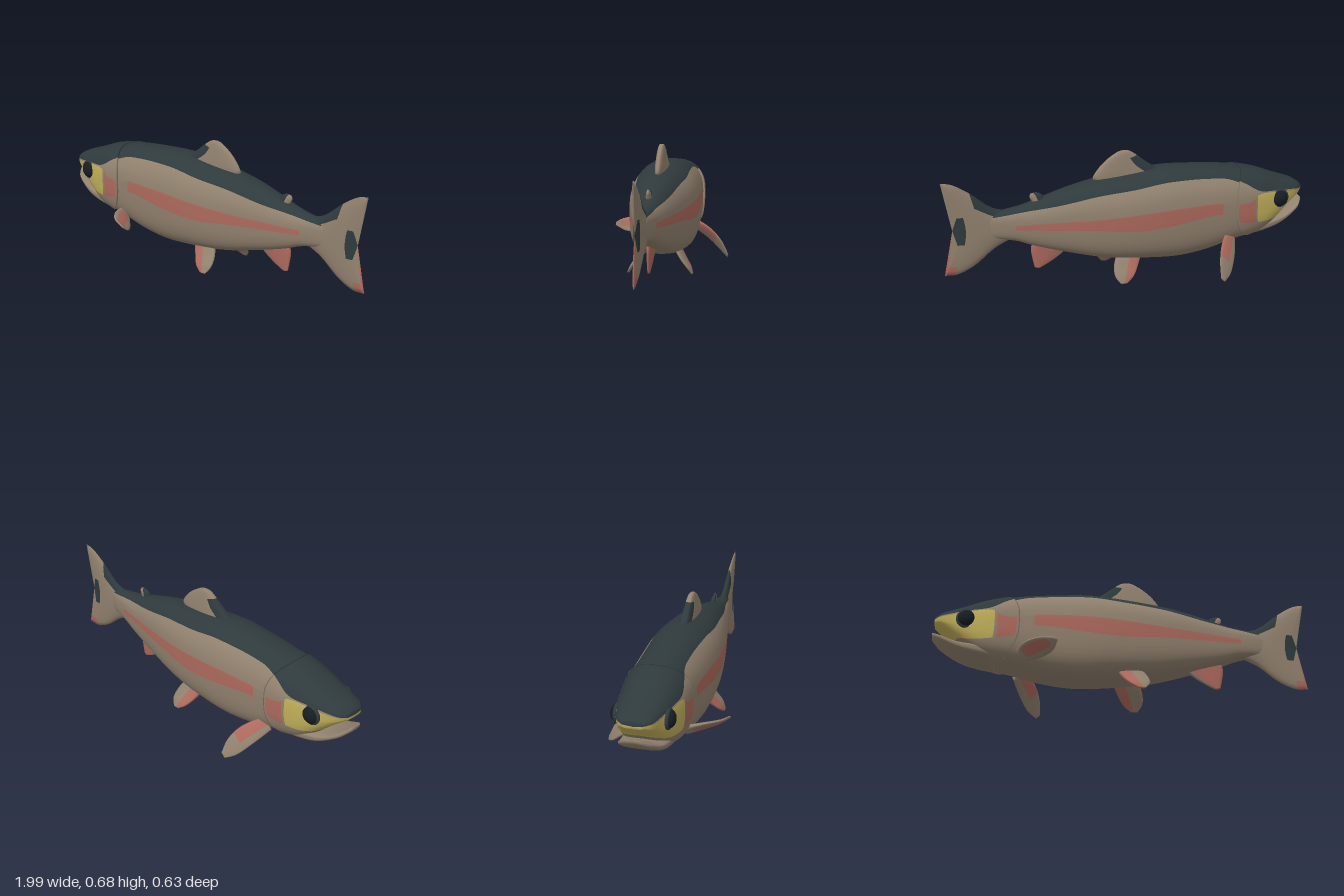
import * as THREE from 'three';

const mat = (name, color) => Object.assign(new THREE.MeshStandardMaterial({ color }), { name });
const MATS = [
  mat('dark back', 0x2f3a3c), mat('tan flank', 0x92826f), mat('pink', 0xae6a5e),
  mat('yellow cheek', 0xc2b05a), mat('eye black', 0x161d22),
];
const [DARK, TAN, PINK, YELLOW, BLACK] = [0, 1, 2, 3, 4];

// Smooth curve through [x, value] pairs
function track(pts) {
  const slope = i => {
    const a = pts[Math.max(i - 1, 0)], b = pts[Math.min(i + 1, pts.length - 1)];
    return (b[1] - a[1]) / (b[0] - a[0]);
  };
  return x => {
    if (x <= pts[0][0]) return pts[0][1];
    if (x >= pts[pts.length - 1][0]) return pts[pts.length - 1][1];
    let i = 0;
    while (x > pts[i + 1][0]) i++;
    const d = pts[i + 1][0] - pts[i][0], t = (x - pts[i][0]) / d;
    return (1 + 2 * t) * (1 - t) ** 2 * pts[i][1] + t * (1 - t) ** 2 * d * slope(i)
      + t * t * (3 - 2 * t) * pts[i + 1][1] + t * t * (t - 1) * d * slope(i + 1);
  };
}

// Skin over closed rings with capped ends; colorOf(row, column) picks a material
function loft(name, rings, colorOf) {
  const center = r => r.reduce((s, p) => s.add(p), new THREE.Vector3()).divideScalar(r.length);
  const cap = r => { const c = center(r); return r.map(() => c); };
  const all = [cap(rings[0]), ...rings, cap(rings[rings.length - 1])];
  const n = rings[0].length, lists = MATS.map(() => []);
  for (let i = 0; i < all.length - 1; i++) {
    const row = Math.min(Math.max(i - 1, 0), rings.length - 2);
    for (let j = 0; j < n; j++) {
      const a = i * n + j, b = i * n + (j + 1) % n, c = a + n, d = b + n;
      lists[colorOf(row, j)].push(a, c, b, b, c, d);
    }
  }
  const geo = new THREE.BufferGeometry().setFromPoints(all.flat());
  geo.setIndex(lists.flat());
  let start = 0;
  lists.forEach((l, m) => { if (l.length) geo.addGroup(start, l.length, m); start += l.length; });
  geo.computeVertexNormals();
  const mesh = new THREE.Mesh(geo, MATS);
  mesh.name = name;
  return mesh;
}

// Body profiles along x: top, bottom, half width, and the edges of the colour bands
const top = track([[-0.99, 0.405], [-0.95, 0.428], [-0.85, 0.465], [-0.72, 0.513], [-0.53, 0.55], [-0.31, 0.572],
  [-0.18, 0.577], [0, 0.562], [0.2, 0.538], [0.33, 0.513], [0.49, 0.47], [0.57, 0.449], [0.66, 0.436], [0.78, 0.42]]);
const bottom = track([[-0.99, 0.37], [-0.95, 0.34], [-0.9, 0.3], [-0.86, 0.265], [-0.82, 0.23], [-0.74, 0.175],
  [-0.58, 0.138], [-0.42, 0.1], [-0.26, 0.084], [-0.1, 0.094], [0.14, 0.123], [0.33, 0.171], [0.52, 0.23], [0.62, 0.268], [0.78, 0.3]]);
const width = track([[-0.99, 0.05], [-0.96, 0.085], [-0.9, 0.11], [-0.82, 0.133], [-0.68, 0.157], [-0.55, 0.163],
  [-0.2, 0.178], [0, 0.17], [0.2, 0.142], [0.4, 0.102], [0.6, 0.06], [0.7, 0.038], [0.78, 0.015]]);
const backEdge = track([[-0.99, 0.388], [-0.9, 0.4], [-0.8, 0.412], [-0.7, 0.425], [-0.6, 0.475], [-0.5, 0.508],
  [-0.2, 0.525], [0, 0.505], [0.2, 0.485], [0.4, 0.45], [0.55, 0.43], [0.78, 0.4]]);
const stripeTop = track([[-0.99, 0.386], [-0.9, 0.392], [-0.8, 0.405], [-0.69, 0.408], [-0.65, 0.376], [-0.57, 0.37],
  [-0.48, 0.388], [-0.2, 0.39], [0.2, 0.37], [0.62, 0.362]]);
const stripeBottom = track([[-0.99, 0.36], [-0.9, 0.29], [-0.8, 0.25], [-0.7, 0.25], [-0.64, 0.255], [-0.57, 0.27],
  [-0.48, 0.325], [-0.2, 0.3], [0, 0.29], [0.2, 0.31], [0.62, 0.337]]);

const P_TOP = 0.9, P_LOW = 0.6, SUBS = [8, 4, 5, 11], HALF = 28;
const section = (x, grow) => ({ t: top(x) + grow * 0.5, b: bottom(x) - grow * 0.5, w: width(x) + grow });
const middle = s => s.b + (s.t - s.b) * 0.57;

// Point on a section at angle a from the top
function around(x, s, a, side) {
  const c = Math.cos(a), p = c > 0 ? P_TOP : P_LOW, m = middle(s);
  const y = m + (c > 0 ? s.t - m : m - s.b) * Math.sign(c) * Math.abs(c) ** p;
  return new THREE.Vector3(x, y, side * s.w * Math.abs(Math.sin(a)) ** p);
}
function angleAt(s, y) {
  const m = middle(s), k = THREE.MathUtils.clamp(y > m ? (y - m) / (s.t - m) : (y - m) / (m - s.b), -1, 1);
  return Math.acos(Math.sign(k) * Math.abs(k) ** (1 / (k > 0 ? P_TOP : P_LOW)));
}
// One body ring whose points line up with the colour bands
function bodyRing(u, grow, sweep = 0) {
  const s = section(u, grow), marks = [0];
  for (const f of [backEdge, stripeTop, stripeBottom]) marks.push(Math.max(angleAt(s, f(u)), marks[marks.length - 1]));
  marks.push(Math.PI);
  const angles = [0];
  SUBS.forEach((n, k) => {
    for (let i = 1; i <= n; i++) angles.push(marks[k] + (marks[k + 1] - marks[k]) * i / n);
  });
  const at = (a, side) => {
    const c = Math.cos(a), x = u - sweep * c * c * (c > 0 ? 0.07 : 0.12);
    return around(x, section(x, grow), a, side);
  };
  return [...angles.map(a => at(a, -1)), ...angles.slice(1, -1).reverse().map(a => at(a, 1))];
}
function bandOf(j) {
  let k = j < HALF ? j : 2 * HALF - 1 - j, b = 0;
  while (k >= SUBS[b]) k -= SUBS[b++];
  return b;
}
const steps = (a, b, n) => Array.from({ length: n + 1 }, (_, i) => a + (b - a) * i / n);

// Lens-shaped fin spanned between two or three edge polylines, root to tip
function fin(name, edges, thick, colorOf) {
  const V = p => new THREE.Vector3(p[0], p[1], p[2] || 0);
  const curves = edges.map(e => new THREE.CatmullRomCurve3(e.map(V)));
  const first = curves[0], last = curves[curves.length - 1], N = 20, M = 20;
  const along = first.getPoint(1).add(last.getPoint(1)).sub(first.getPoint(0)).sub(last.getPoint(0));
  const across = last.getPoint(0.4).sub(first.getPoint(0.4));
  const normal = along.cross(across).normalize();
  const rings = steps(0, 1, M).map(s => {
    const line = new THREE.CatmullRomCurve3(curves.map(c => c.getPoint(s)));
    const at = (k, side) => line.getPoint(k / N)
      .addScaledVector(normal, side * thick * (1 - 0.7 * s) * Math.sqrt(Math.abs(Math.sin(Math.PI * k / N))));
    const ring = [];
    for (let k = 0; k <= N; k++) ring.push(at(k, k % N ? 1 : 0));
    for (let k = N - 1; k > 0; k--) ring.push(at(k, -1));
    return ring;
  });
  return loft(name, rings, (i, j) => colorOf((i + 0.5) / M, (j < N ? j + 0.5 : 2 * N - j - 0.5) / N));
}

export function createModel() {
  const g = new THREE.Group();
  g.name = 'fish';

  // Body with dark back and side stripe
  const bx = steps(-0.72, 0.78, 75);
  g.add(loft('body', bx.map(x => bodyRing(x, x < -0.66 ? -0.015 : 0)),
    (i, j) => [DARK, TAN, bx[i] > -0.5 && bx[i] < 0.61 ? PINK : TAN, TAN][bandOf(j)]));

  // Head ending in the curved gill cover
  const hx = steps(-0.99, -0.555, 58);
  g.add(loft('head', hx.map(x => bodyRing(x, 0.009 * Math.max(0, (x + 0.9) / 0.345), ((x + 0.99) / 0.435) ** 2)),
    (i, j) => [DARK, TAN, hx[i] < -0.685 ? YELLOW : hx[i] > -0.672 && hx[i] < -0.575 ? PINK : TAN, TAN][bandOf(j)]));

  // Open lower jaw
  const jt = track([[-1, 0.322], [-0.95, 0.292], [-0.88, 0.262], [-0.8, 0.25], [-0.62, 0.24]]);
  const jb = track([[-1, 0.3], [-0.96, 0.263], [-0.85, 0.2], [-0.74, 0.168], [-0.62, 0.15]]);
  const jw = track([[-1, 0.035], [-0.97, 0.075], [-0.9, 0.1], [-0.8, 0.117], [-0.62, 0.12]]);
  g.add(loft('lowerJaw', steps(-1, -0.62, 24).map(x => steps(0, 2 * Math.PI, 40).slice(0, -1).map(a =>
    around(x, { t: jt(x), b: jb(x), w: jw(x) }, a, a < Math.PI ? -1 : 1))), () => TAN));

  // Eyes
  for (const [side, label] of [[1, 'left'], [-1, 'right']]) {
    const eye = new THREE.Mesh(new THREE.SphereGeometry(0.046, 28, 18), MATS[BLACK]);
    eye.scale.z = 0.75;
    const rim = new THREE.Mesh(new THREE.TorusGeometry(0.044, 0.01, 10, 32), MATS[DARK]);
    const pair = new THREE.Group();
    pair.name = label + 'Eye';
    eye.name = 'eyeball';
    rim.name = 'eyeRim';
    pair.add(eye, rim);
    pair.position.set(-0.826, 0.364, side * 0.126);
    g.add(pair);
  }

  // Fins on the centre line
  g.add(fin('tailFin', [
    [[0.62, 0.43], [0.72, 0.452], [0.84, 0.545], [0.93, 0.6], [0.985, 0.612]],
    [[0.62, 0.36], [0.71, 0.35], [0.8, 0.345], [0.86, 0.345], [0.9, 0.345]],
    [[0.62, 0.28], [0.72, 0.232], [0.83, 0.15], [0.92, 0.113], [0.985, 0.115]],
  ], 0.034, (s, v) => (s > 0.8 && v > 0.36 && v < 0.66) || (s > 0.1 && s < 0.48 && v < 0.22) ? DARK
    : s > 0.8 && v > 0.9 ? PINK : TAN));
  g.add(fin('dorsalFin', [
    [[-0.19, 0.55], [-0.1, 0.615], [-0.05, 0.655], [-0.01, 0.68], [0.02, 0.684]],
    [[0.17, 0.525], [0.19, 0.55], [0.155, 0.605], [0.11, 0.645], [0.06, 0.676]],
  ], 0.034, (s, v) => v < 0.35 && s < 0.5 ? DARK : TAN));
  g.add(fin('adiposeFin', [
    [[0.455, 0.46], [0.465, 0.495], [0.49, 0.51]], [[0.51, 0.45], [0.53, 0.49], [0.525, 0.505]],
  ], 0.018, (s, v) => v < 0.6 ? DARK : TAN));
  g.add(fin('analFin', [
    [[0.33, 0.19], [0.37, 0.155], [0.43, 0.117], [0.485, 0.09]],
    [[0.52, 0.25], [0.53, 0.2], [0.522, 0.14], [0.512, 0.095]],
  ], 0.02, (s, v) => v > 0.25 ? PINK : TAN));

  // Pelvic fins, mirrored
  for (const [k, label] of [[1, 'left'], [-1, 'right']]) {
    g.add(fin(label + 'PelvicFin', [
      [[-0.06, 0.16, 0.07 * k], [-0.02, 0.085, 0.117 * k], [0.02, 0.035, 0.155 * k], [0.06, 0.008, 0.17 * k]],
      [[0.08, 0.16, 0.07 * k], [0.115, 0.09, 0.117 * k], [0.118, 0.045, 0.15 * k], [0.095, 0.01, 0.17 * k]],
    ], 0.018, (s, v) => v < 0.55 ? PINK : TAN));
  }

  // Pectoral fins: the left one spread, the right one lowered
  g.add(fin('leftPectoralFin', [
    [[-0.57, 0.2, 0.12], [-0.53, 0.212, 0.21], [-0.46, 0.208, 0.285], [-0.39, 0.2, 0.312]],
    [[-0.52, 0.14, 0.12], [-0.44, 0.138, 0.19], [-0.385, 0.152, 0.26], [-0.367, 0.185, 0.312]],
  ], 0.014, (s, v) => v > 0.3 && v < 0.75 && s > 0.15 && s < 0.8 ? PINK : TAN));
  g.add(fin('rightPectoralFin', [
    [[-0.57, 0.15, -0.12], [-0.53, 0.09, -0.21], [-0.48, 0.03, -0.28], [-0.435, 0.006, -0.315]],
    [[-0.52, 0.21, -0.12], [-0.45, 0.16, -0.22], [-0.42, 0.1, -0.28], [-0.412, 0.03, -0.317]],
  ], 0.014, (s, v) => v > 0.5 && s < 0.5 ? PINK : TAN));

  return g;
}
